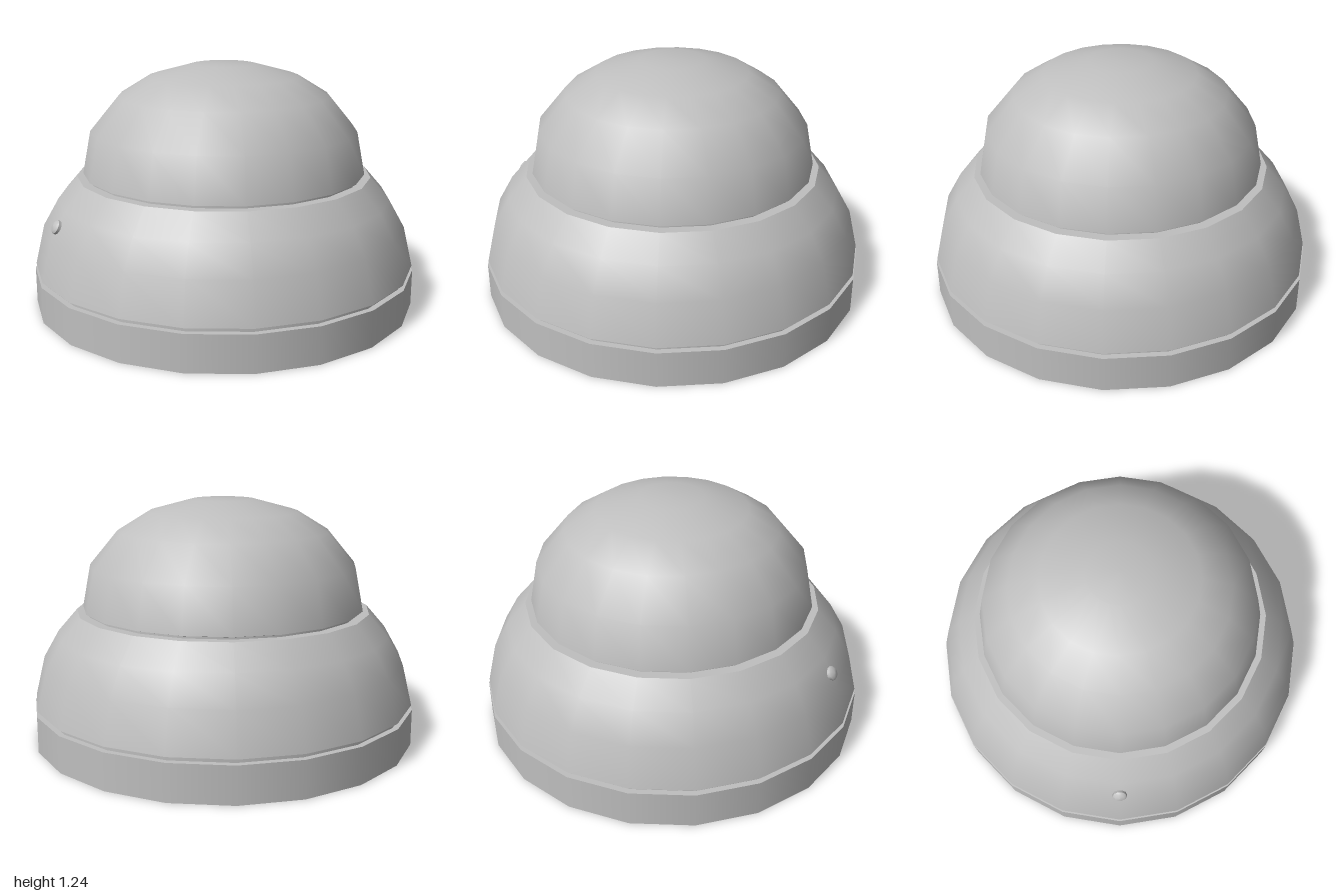
import * as THREE from 'three';

const SIDES = 20;

export function createModel() {
  const model = new THREE.Group();
  const grey = new THREE.MeshStandardMaterial({ color: 0xbfbfbf });
  grey.name = 'plain grey';

  // Each strip is a smooth run of [radius, height] points; edges between strips stay sharp.
  function turned(name, strips, sides = SIDES) {
    const part = new THREE.Group();
    part.name = name;
    for (const strip of strips) {
      const points = strip.map(([r, y]) => new THREE.Vector2(r, y));
      const mesh = new THREE.Mesh(new THREE.LatheGeometry(points, sides), grey);
      mesh.name = name + 'Surface';
      part.add(mesh);
    }
    model.add(part);
    return part;
  }

  // Base disc with a flat underside and a narrow ledge
  turned('base', [
    [[0, 0], [1, 0]],
    [[1, 0], [1, 0.187]],
    [[1, 0.187], [0.97, 0.187]],
  ]);

  // Recessed seam above the base
  turned('baseSeam', [[[0.97, 0.187], [0.97, 0.207]]]);

  // Wide lower dome, cut flat at the top
  turned('lowerDome', [
    [[0.97, 0.207], [0.995, 0.212]],
    [[0.995, 0.212], [0.945, 0.42], [0.865, 0.56], [0.765, 0.675]],
    [[0.765, 0.675], [0.715, 0.675]],
  ]);

  // Recessed seam between the domes
  turned('domeSeam', [[[0.715, 0.675], [0.715, 0.685]]]);

  // Rounded upper dome
  turned('upperDome', [
    [[0.715, 0.685], [0.733, 0.69]],
    [[0.733, 0.69], [0.69, 0.91], [0.545, 1.085], [0.387, 1.182], [0.163, 1.243], [0, 1.244]],
  ]);

  // Small button on the right side, square to the dome's slope
  const button = turned('sideButton', [
    [[0.036, -0.015], [0.036, 0.014]],
    [[0.036, 0.014], [0.024, 0.025], [0, 0.028]],
  ], 10);
  button.position.set(-0.903, 0.485, 0);
  button.quaternion.setFromUnitVectors(
    new THREE.Vector3(0, 1, 0),
    new THREE.Vector3(-0.88, 0.47, 0).normalize()
  );

  return model;
}
